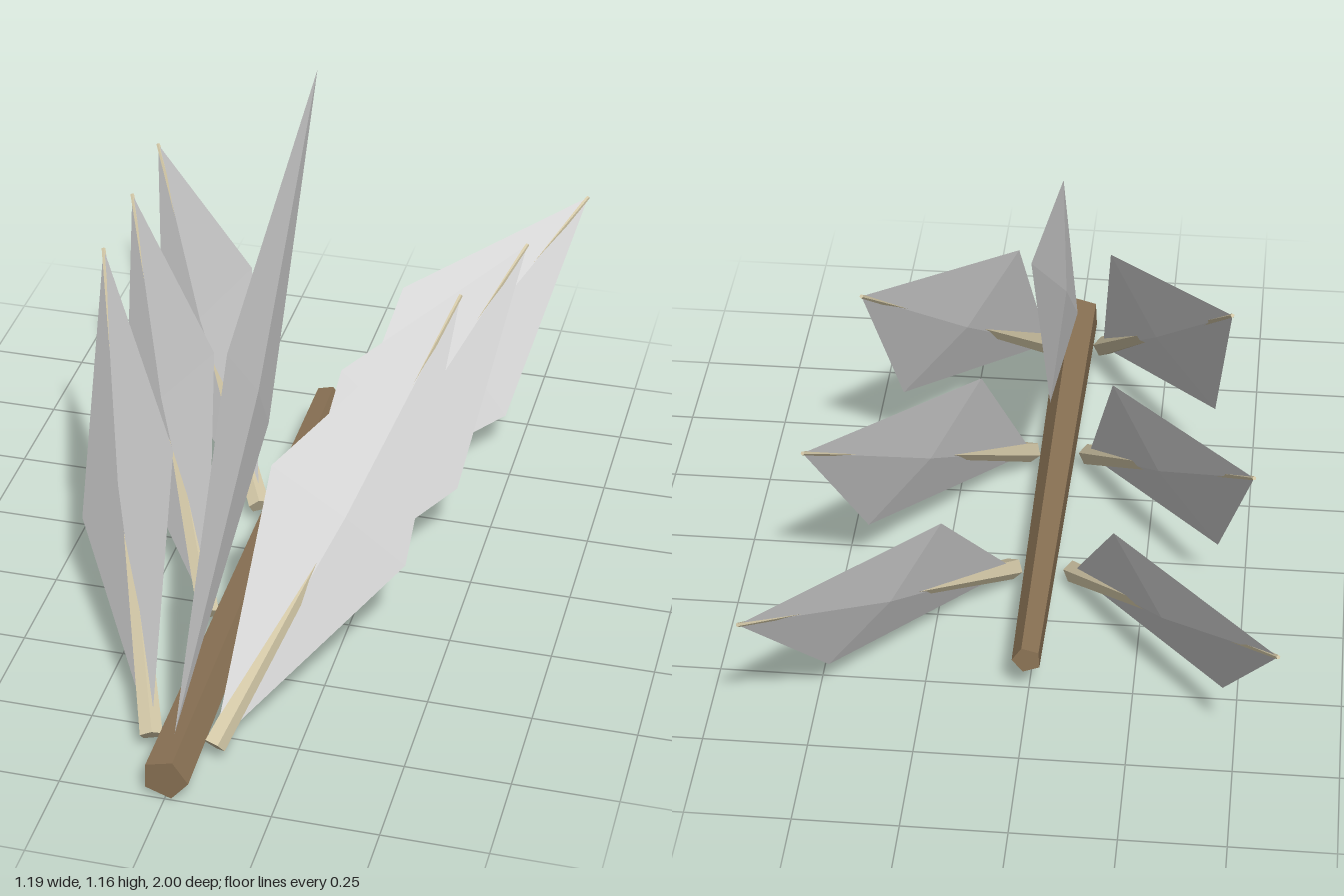
import * as THREE from 'three';

const V = (x, y, z) => new THREE.Vector3(x, y, z);

const wood = new THREE.MeshStandardMaterial({ name: 'brownWood', color: 0x8b7355, flatShading: true });
const quill = new THREE.MeshStandardMaterial({ name: 'beigeQuill', color: 0xd4c9a8, flatShading: true });
const vane = new THREE.MeshStandardMaterial({ name: 'paleGreyVane', color: 0xdedede, flatShading: true });

// Tapered five-sided rod between two points
function taperedRod(name, from, to, r0, r1, spin, material) {
  const dir = to.clone().sub(from);
  const geo = new THREE.CylinderGeometry(r1, r0, dir.length(), 5);
  geo.rotateY(spin);
  const mesh = new THREE.Mesh(geo, material);
  mesh.quaternion.setFromUnitVectors(V(0, 1, 0), dir.normalize());
  mesh.position.copy(from).lerp(to, 0.5);
  mesh.name = name;
  return mesh;
}

// Flat parallelogram blade, thickest at its centre
function blade(name, base, tip, upper, thickness) {
  const lower = base.clone().add(tip).sub(upper);
  const centre = base.clone().lerp(tip, 0.5);
  const n = tip.clone().sub(base).cross(upper.clone().sub(lower)).setLength(thickness);
  const front = centre.clone().add(n);
  const back = centre.clone().sub(n);
  const ring = [base, lower, tip, upper];
  const points = [];
  ring.forEach((a, i) => {
    const b = ring[(i + 1) % 4];
    points.push(a, b, front, b, a, back);
  });
  const geo = new THREE.BufferGeometry().setFromPoints(points);
  geo.computeVertexNormals();
  const mesh = new THREE.Mesh(geo, vane);
  mesh.name = name;
  return mesh;
}

export function createModel() {
  const model = new THREE.Group();
  model.name = 'featheredShaft';

  // Main shaft, rising slightly towards the back
  model.add(taperedRod('mainShaft', V(0, 0.056, 0.998), V(0, 0.132, -0.55), 0.056, 0.036, 0.366, wood));

  // Upright central vane
  model.add(blade('centreVane', V(0, 0.12, 0.91), V(0, 1.165, -0.4), V(0, 0.85, 0.44), 0.024));

  // Three mirrored pairs of feathers: base, tip, upper corner
  const feathers = [
    ['front', [0.075, 0.055, 0.85], [0.443, 0.8, -0.038], [0.117, 0.6, 0.49]],
    ['middle', [0.075, 0.055, 0.363], [0.517, 0.687, -0.515], [0.16, 0.56, -0.015]],
    ['rear', [0.075, 0.055, -0.118], [0.592, 0.576, -0.998], [0.2, 0.51, -0.522]],
  ];
  for (const [place, ...pts] of feathers) {
    for (const side of [1, -1]) {
      const [base, tip, upper] = pts.map(([x, y, z]) => V(side * x, y, z));
      const feather = new THREE.Group();
      feather.name = place + (side > 0 ? 'LeftFeather' : 'RightFeather');
      feather.add(blade('vane', base, tip, upper, 0.023));
      feather.add(taperedRod('quill', base, tip, 0.028, 0.005, 0.4, quill));
      model.add(feather);
    }
  }
  return model;
}
